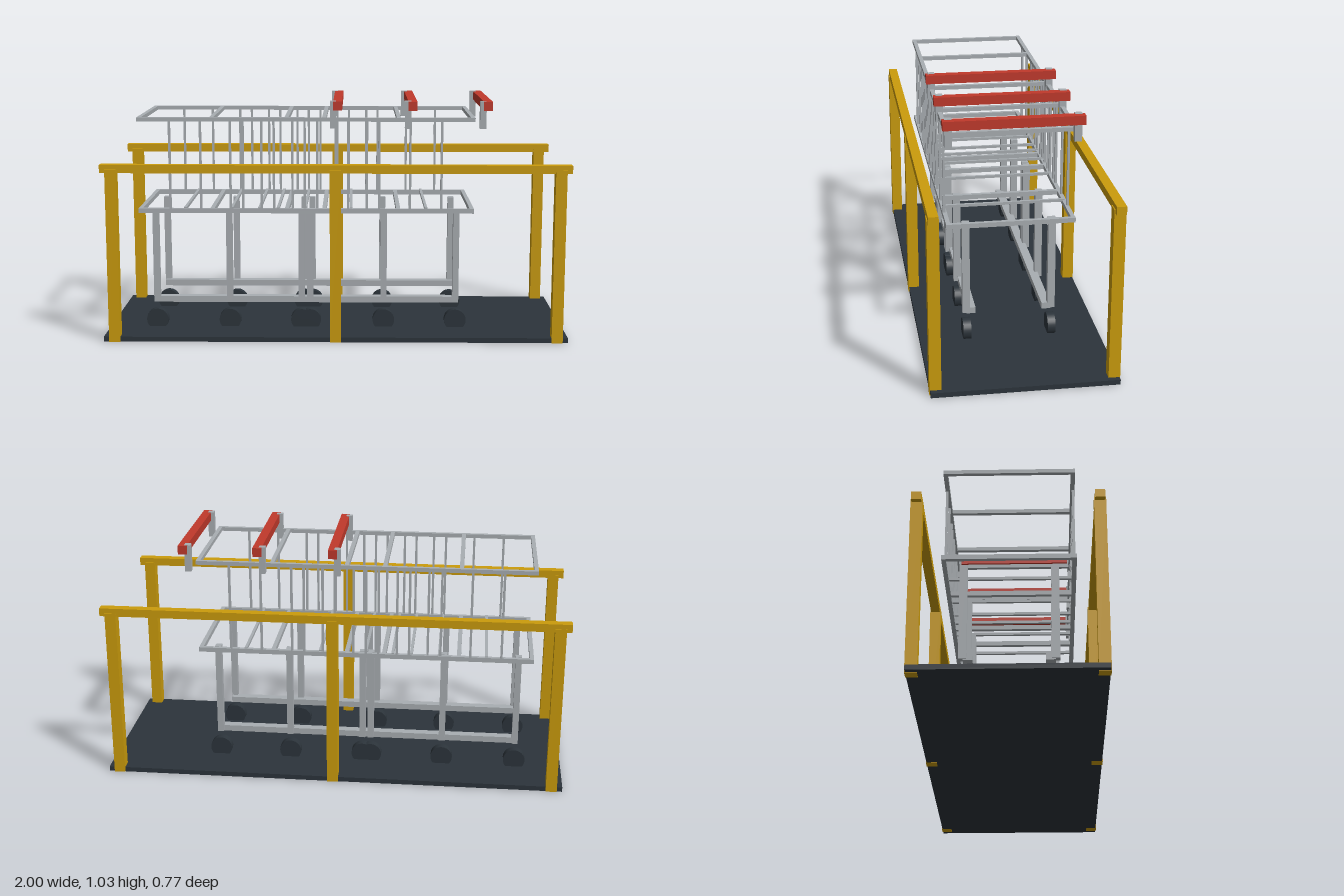
import * as THREE from 'three';

const material = (name, color) => {
  const m = new THREE.MeshStandardMaterial({ color });
  m.name = name;
  return m;
};

export function createModel() {
  const yellow = material('safety yellow', 0xcb9c0c);
  const steel = material('steel grey', 0xa9aeb2);
  const red = material('red', 0xc0392b);
  const dark = material('dark slate', 0x2c343b);
  const model = new THREE.Group();
  model.name = 'liftFrame';

  // Box given by its limits along each axis
  const box = (name, mat, [x0, x1], [y0, y1], [z0, z1]) => {
    const mesh = new THREE.Mesh(new THREE.BoxGeometry(x1 - x0, y1 - y0, z1 - z0), mat);
    mesh.position.set((x0 + x1) / 2, (y0 + y1) / 2, (z0 + z1) / 2);
    mesh.name = name;
    model.add(mesh);
  };
  const around = (c, size) => [c - size / 2, c + size / 2];

  box('basePlate', dark, [-1, 1], [0.001, 0.022], [-0.382, 0.382]);

  const legXs = [-0.793, -0.47, -0.152, -0.115, 0.21, 0.527];
  const beamXs = [-0.846, -0.535, -0.212, -0.05, 0.27, 0.588];
  const rungXs = [-0.652, -0.45, -0.33, -0.25, -0.133, 0.065, 0.39];
  const barXs = [-0.716, -0.583, -0.455, -0.4, -0.32, -0.267, -0.187, -0.134,
    -0.08, 0, 0.053, 0.134, 0.187, 0.32, 0.455];
  const lowerY = [0.545, 0.565];
  const upperY = [0.943, 0.96];

  for (const side of [-1, 1]) {
    // Guard rails on posts
    for (const x of [-0.953, 0, 0.953]) {
      box('guardPost', yellow, around(x, 0.048), [0, 0.75], around(side * 0.361, 0.048));
    }
    box('guardRail', yellow, [-1, 1], [0.735, 0.77], around(side * 0.361, 0.04));

    // Legs, each above a wheel
    for (const x of legXs) {
      box('leg', steel, around(x, 0.027), [0.133, 0.545], around(side * 0.182, 0.032));
      const wheel = new THREE.Mesh(new THREE.CylinderGeometry(0.048, 0.048, 0.034, 24), dark);
      wheel.rotation.x = Math.PI / 2;
      wheel.position.set(x, 0.053, side * 0.181);
      wheel.name = 'wheel';
      model.add(wheel);
    }
    box('legRail', steel, [-0.803, 0.537], [0.128, 0.155], around(side * 0.161, 0.038));

    // Side rails of the cage and the thin bars between them
    box('lowerSideRail', steel, [-0.855, 0.597], lowerY, around(side * 0.26, 0.018));
    box('upperSideRail', steel, [-0.855, 0.597], upperY, around(side * 0.26, 0.018));
    for (const x of barXs) {
      box('cageBar', steel, around(x, 0.01), [0.56, 0.95], around(side * 0.262, 0.01));
    }
  }

  // Cross members of both cage levels
  for (const x of beamXs) {
    box('lowerCrossBeam', steel, around(x, 0.018), lowerY, [-0.26, 0.26]);
    box('upperCrossBeam', steel, around(x, 0.018), upperY, [-0.26, 0.26]);
  }
  for (const x of rungXs) {
    box('floorRung', steel, around(x, 0.012), [0.558, 0.57], [-0.262, 0.262]);
  }

  // Red bumper beams held by end brackets
  for (const x of [0.008, 0.329, 0.649]) {
    box('bumperBeam', red, around(x, 0.038), [0.992, 1.03], [-0.287, 0.287]);
    for (const side of [-1, 1]) {
      box('bumperBracket', steel, around(x - 0.02, 0.027), [0.914, 1.031], around(side * 0.262, 0.03));
    }
  }
  return model;
}
